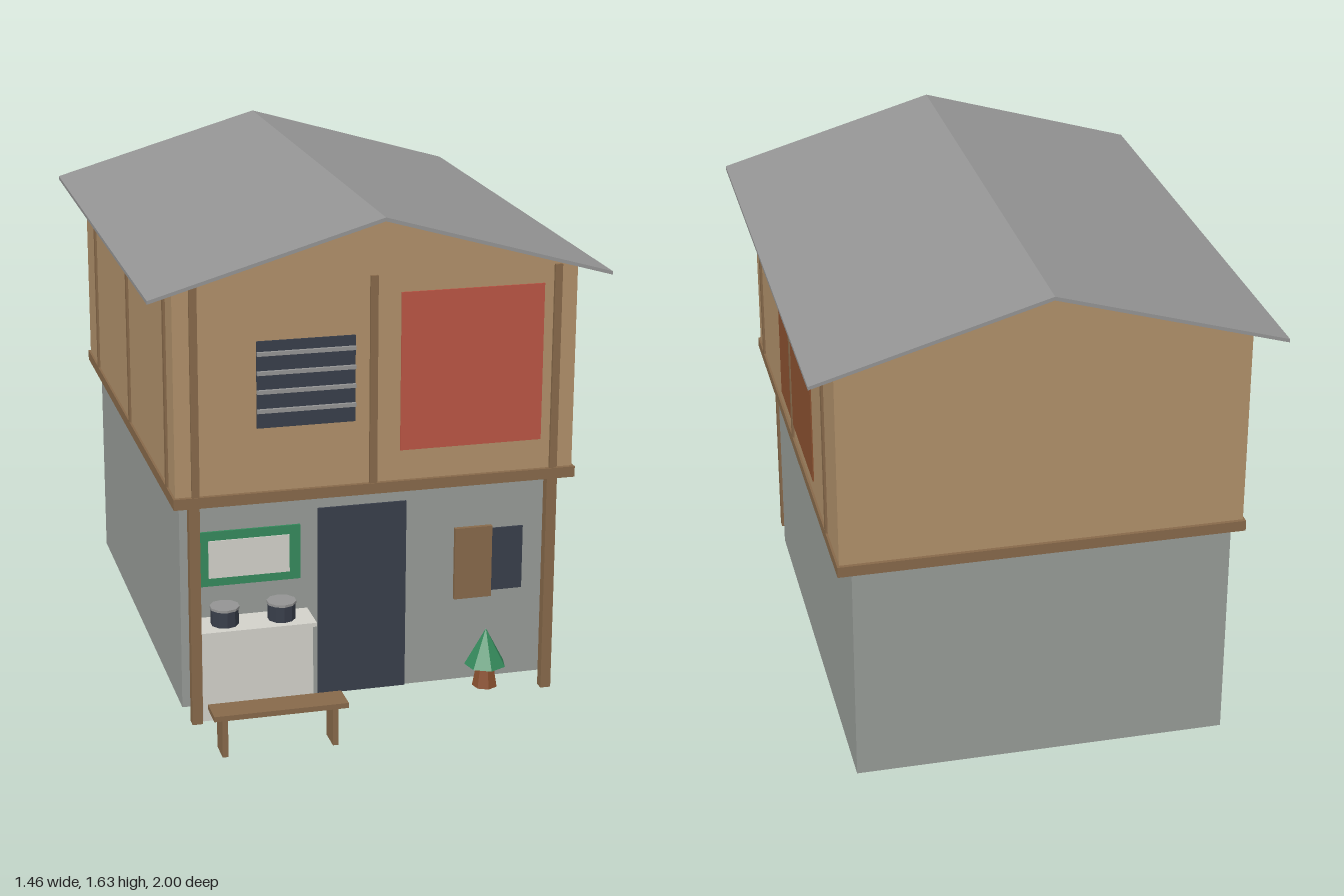
import * as THREE from 'three';

export function createModel() {
  const model = new THREE.Group();
  model.name = 'house';

  const mat = (name, color) => {
    const m = new THREE.MeshStandardMaterial({ color, flatShading: true });
    m.name = name;
    return m;
  };
  const ochre = mat('ochre plaster', 0xb0906a);
  const timber = mat('timber brown', 0x87694a);
  const concrete = mat('concrete grey', 0x979b97);
  const steel = mat('roof grey', 0x949494);
  const dark = mat('dark slate', 0x383e4a);
  const red = mat('faded red', 0xba5544);
  const rust = mat('rust brown', 0x8a5130);
  const green = mat('green', 0x358a5c);
  const cream = mat('off white', 0xd2d1ca);

  const add = (name, geometry, material, parent = model) => {
    const mesh = new THREE.Mesh(geometry, material);
    mesh.name = name;
    parent.add(mesh);
    return mesh;
  };
  // Box given by its lower and upper limits on each axis
  const box = (name, material, x0, x1, y0, y1, z0, z1, parent) => {
    const mesh = add(name, new THREE.BoxGeometry(x1 - x0, y1 - y0, z1 - z0), material, parent);
    mesh.position.set((x0 + x1) / 2, (y0 + y1) / 2, (z0 + z1) / 2);
    return mesh;
  };
  // Front outline extruded along z
  const prism = (name, material, points, z0, z1) => {
    const shape = new THREE.Shape(points.map(([x, y]) => new THREE.Vector2(x, y)));
    const geometry = new THREE.ExtrudeGeometry(shape, { depth: z1 - z0, bevelEnabled: false });
    add(name, geometry.translate(0, 0, z0), material);
  };

  // Main volumes
  box('groundFloor', concrete, -0.605, 0.605, 0, 0.74, -0.92, 0.605);
  box('floorBeam', timber, -0.65, 0.65, 0.735, 0.77, -0.932, 0.766);
  prism('upperFloor', ochre,
    [[-0.643, 0.765], [0.643, 0.765], [0.643, 1.436], [0, 1.62], [-0.643, 1.436]], -0.92, 0.752);
  prism('roof', steel,
    [[-0.73, 1.41], [0, 1.62], [0.73, 1.41], [0.73, 1.421], [0, 1.632], [-0.73, 1.421]], -1, 0.828);

  // Timber framing
  for (const x of [-0.58, -0.015, 0.578]) {
    box('frontStud', timber, x - 0.012, x + 0.012, 0.77, 1.437, 0.745, 0.763);
  }
  for (const side of [-1, 1]) {
    for (const z of [0.633, -0.04, -0.706]) {
      box('sideStud', timber, side * 0.642 - 0.008, side * 0.642 + 0.008, 0.77, 1.436, z - 0.012, z + 0.012);
    }
    box('porchPost', timber, side * 0.582 - 0.017, side * 0.582 + 0.017, 0, 0.737, 0.711, 0.744);
  }

  // Upper openings and panels
  box('upperWindow', dark, -0.385, -0.073, 0.976, 1.253, 0.75, 0.757);
  for (const y of [1.032, 1.093, 1.153, 1.214]) {
    box('windowBar', steel, -0.385, -0.073, y - 0.006, y + 0.006, 0.757, 0.768);
  }
  box('redPanel', red, 0.073, 0.535, 0.868, 1.378, 0.75, 0.757);
  box('sidePanel', rust, 0.641, 0.647, 0.82, 1.253, -0.465, 0.203);

  // Ground floor front
  box('door', dark, -0.155, 0.138, 0, 0.644, 0.603, 0.612);
  box('signFrame', green, -0.553, -0.214, 0.412, 0.596, 0.603, 0.612);
  box('signFace', cream, -0.514, -0.25, 0.44, 0.566, 0.61, 0.616);
  box('lowerWindow', dark, 0.34, 0.535, 0.307, 0.523, 0.603, 0.612);
  box('shutter', timber, 0.302, 0.428, 0.289, 0.535, 0.603, 0.62);

  // Counter with two pots
  box('counter', cream, -0.56, -0.2, 0, 0.292, 0.605, 0.725);
  box('counterTop', cream, -0.566, -0.19, 0.292, 0.305, 0.605, 0.735);
  for (const x of [-0.475, -0.29]) {
    const pot = new THREE.Group();
    pot.name = 'pot';
    pot.position.set(x, 0.305, 0.667);
    model.add(pot);
    add('potBody', new THREE.CylinderGeometry(0.045, 0.045, 0.054, 10), dark, pot).position.y = 0.027;
    add('potLid', new THREE.CylinderGeometry(0.048, 0.048, 0.008, 10), steel, pot).position.y = 0.057;
  }

  // Bench
  box('benchSeat', timber, -0.58, -0.155, 0.125, 0.142, 0.905, 1);
  for (const x of [-0.545, -0.195]) {
    box('benchLeg', timber, x - 0.009, x + 0.009, 0, 0.125, 0.912, 0.993);
  }

  // Small tree
  add('treeTrunk', new THREE.CylinderGeometry(0.028, 0.042, 0.08, 7), rust).position.set(0.395, 0.04, 0.675);
  add('treeCrown', new THREE.ConeGeometry(0.069, 0.125, 7), green).position.set(0.395, 0.138, 0.675);

  return model;
}
